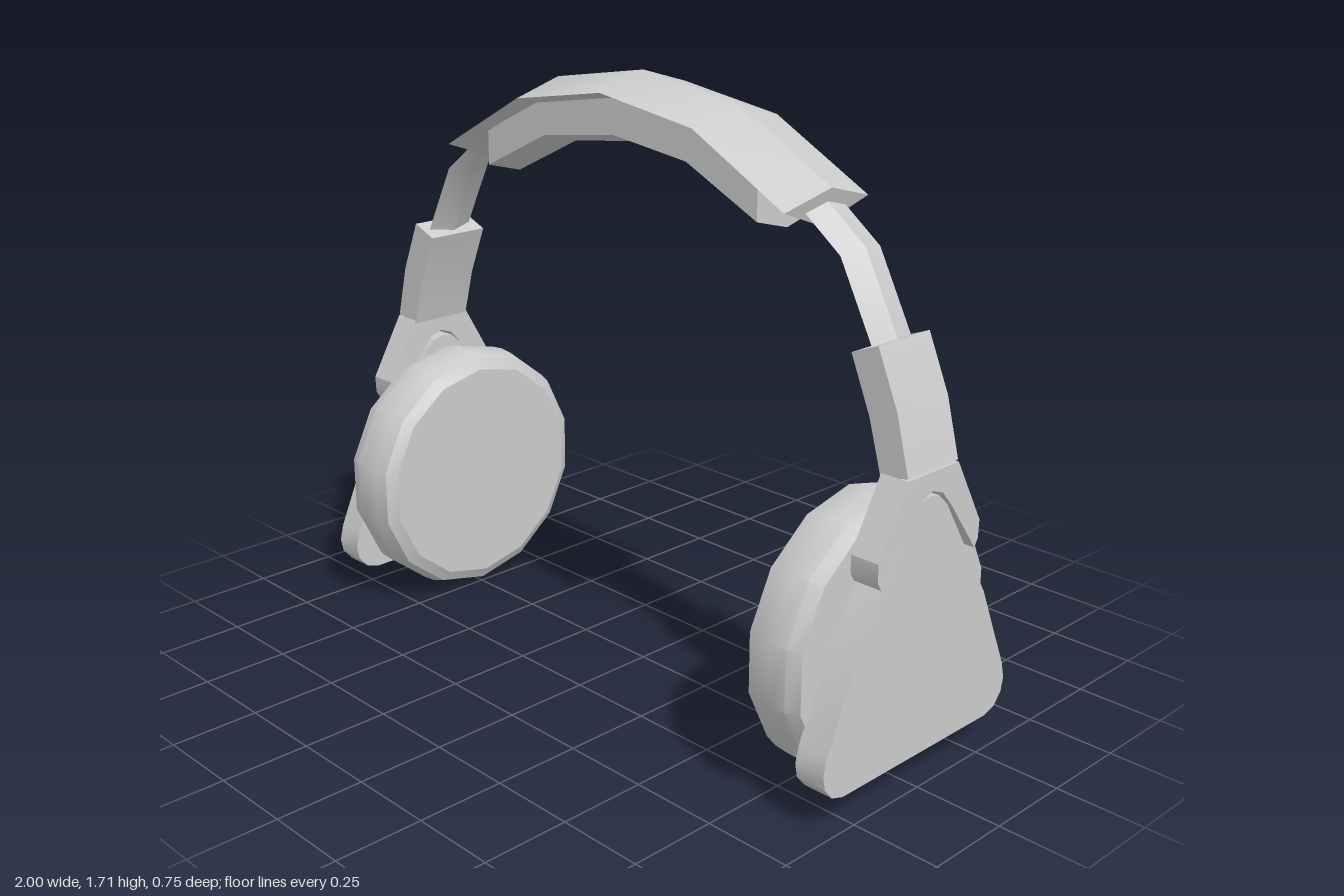
import * as THREE from 'three';
import { toCreasedNormals } from 'three/addons/utils/BufferGeometryUtils.js';

const material = new THREE.MeshStandardMaterial({ color: 0xcccccc });

function part(name, geometry, crease = 0.5) {
  const mesh = new THREE.Mesh(toCreasedNormals(geometry, crease), material);
  mesh.name = name;
  return mesh;
}

// Skin a row of closed cross-sections and cap both ends
function loft(rings) {
  const pos = [];
  const tri = (...pts) => pts.forEach((p) => pos.push(...p));
  const n = rings[0].length;
  for (let i = 0; i < rings.length - 1; i++) {
    for (let j = 0; j < n; j++) {
      const k = (j + 1) % n;
      const a = rings[i][j], b = rings[i][k], c = rings[i + 1][k], d = rings[i + 1][j];
      tri(a, b, d);
      tri(b, c, d);
    }
  }
  const first = rings[0], last = rings[rings.length - 1];
  for (let j = 1; j < n - 1; j++) {
    tri(first[0], first[j + 1], first[j]);
    tri(last[0], last[j], last[j + 1]);
  }
  const geo = new THREE.BufferGeometry();
  geo.setAttribute('position', new THREE.Float32BufferAttribute(pos, 3));
  return geo;
}

// Place a section of [depth, z] pairs at each station [x, y, inwardX, inwardY]
function sweep(stations, section) {
  return loft(stations.map(([x, y, dx, dy]) =>
    section.map(([d, z]) => [x + dx * d, y + dy * d, z])));
}

// Mirror stations (listed from the centre outwards) to the -x side
function arch(half) {
  const other = half.slice(1).reverse().map(([x, y, dx, dy]) => [-x, y, -dx, dy]);
  return [...other, ...half];
}

// Slab from a symmetric half outline of [z, y], spanning x0 to x1
function slab(half, x0, x1) {
  const other = half.filter(([z]) => z > 0).reverse().map(([z, y]) => [-z, y]);
  const shape = new THREE.Shape([...half, ...other].map(([z, y]) => new THREE.Vector2(z, y)));
  const geo = new THREE.ExtrudeGeometry(shape, { depth: x1 - x0, bevelEnabled: false });
  return geo.rotateY(Math.PI / 2).translate(x0, 0, 0);
}

// Slider, yoke, shell and ear cushion of the +x side
function createSide(name) {
  const side = new THREE.Group();
  side.name = name;

  side.add(part('slider', sweep(
    [[0.58, 1.51, -0.6, -0.8], [0.765, 1.37, -0.75, -0.66], [0.875, 1.16, -0.9, -0.43], [0.9, 1.1, -0.92, -0.4]],
    [[0, 0], [0.02, 0.075], [0.045, 0], [0.02, -0.075]])));

  // Curved arm with a two-pronged fork below it
  const arm = [[0.893, 1.17, 0.813, 1.138], [0.957, 1.02, 0.875, 0.99], [0.997, 0.865, 0.915, 0.85]];
  side.add(part('yokeArm', loft(arm.map(([ox, oy, ix, iy]) =>
    [[ox, oy, -0.098], [ox, oy, 0.098], [ix, iy, 0.098], [ix, iy, -0.098]]))));
  side.add(part('yokeFork', slab(
    [[0, 0.81], [0.04, 0.795], [0.08, 0.75], [0.185, 0.608], [0.198, 0.63], [0.2, 0.68], [0.098, 0.86]],
    0.917, 1)));

  // Rounded triangular shell
  side.add(part('earShell', slab(
    [[0, 0.795], [0.035, 0.788], [0.07, 0.755], [0.25, 0.465], [0.355, 0.225], [0.366, 0.18],
      [0.358, 0.14], [0.33, 0.108], [0.29, 0.095]],
    0.905, 0.993)));

  // Fourteen-sided padded cushion, turned about the x axis
  const profile = [[0, 0.724], [0.335, 0.724], [0.368, 0.743], [0.38, 0.78], [0.384, 0.825],
    [0.38, 0.87], [0.366, 0.909], [0, 0.909]].map(([r, x]) => new THREE.Vector2(r, x));
  const cushion = new THREE.LatheGeometry(profile, 14, Math.PI / 2);
  cushion.rotateZ(-Math.PI / 2).translate(0, 0.388, 0);
  side.add(part('earCushion', cushion));
  return side;
}

export function createModel() {
  const model = new THREE.Group();
  model.name = 'headphones';

  // Headband with a ridge along its top
  model.add(part('headband', sweep(
    arch([[0, 1.715, 0, -1], [0.34, 1.663, -0.15, -0.98], [0.655, 1.497, -0.3, -0.95]]),
    [[0, 0], [0.045, 0.157], [0.105, 0], [0.045, -0.157]])));

  // Padding under the headband
  model.add(part('headbandPadding', sweep(
    arch([[0, 1.656, 0, -1], [0.27, 1.622, 0, -1], [0.515, 1.506, 0, -1]]),
    [[0, -0.112], [0, 0.112], [0.1, 0.112], [0.13, 0], [0.1, -0.112]])));

  // Each side is symmetric in z, so a half turn mirrors it
  const left = createSide('leftSide');
  const right = createSide('rightSide');
  right.rotation.y = Math.PI;
  model.add(left, right);
  return model;
}
